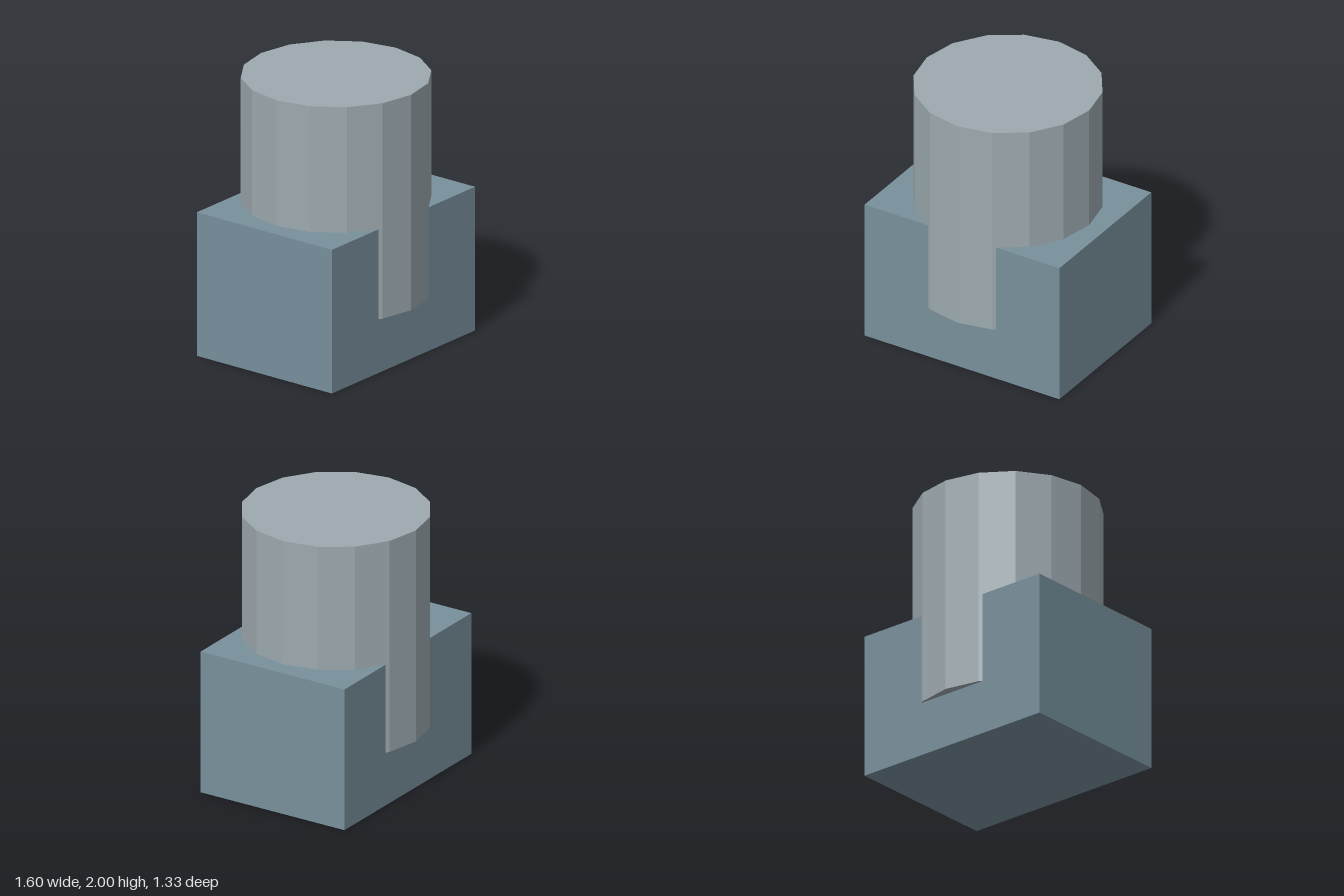
import * as THREE from 'three';

const BASE_HEIGHT = 1.067;
const POST_BOTTOM = 0.4;
const POST_TOP = 2;
const POST_RADIUS = 0.667;

function addPart(group, name, geometry, color, y) {
  const material = new THREE.MeshStandardMaterial({ color, flatShading: true });
  const mesh = new THREE.Mesh(geometry, material);
  mesh.name = name;
  mesh.position.y = y;
  group.add(mesh);
}

export function createModel() {
  const group = new THREE.Group();
  group.name = 'postOnBlock';

  // Rectangular base block standing on the ground
  addPart(group, 'baseBlock', new THREE.BoxGeometry(1.6, BASE_HEIGHT, 1.2), 0x78909c, BASE_HEIGHT / 2);

  // Sixteen-sided post sunk into the block, bulging slightly out of its front and back
  const postHeight = POST_TOP - POST_BOTTOM;
  addPart(group, 'post', new THREE.CylinderGeometry(POST_RADIUS, POST_RADIUS, postHeight, 16),
    0x9daab0, POST_BOTTOM + postHeight / 2);

  return group;
}
